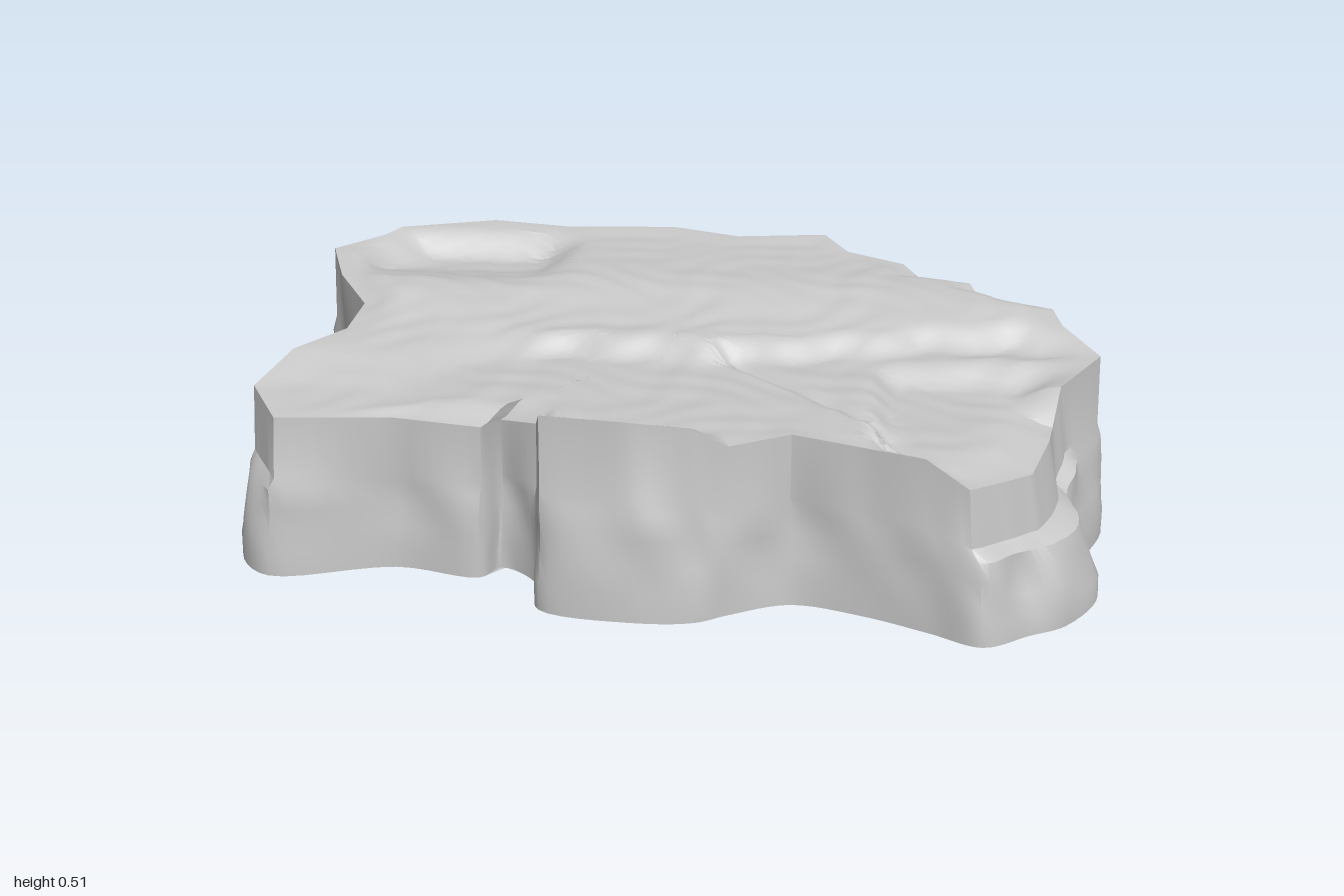
import * as THREE from 'three';
import { toCreasedNormals } from 'three/addons/utils/BufferGeometryUtils.js';

// Footprint corners (x, z), starting at the left tip and running by the front
const outline = [
  [0.995, 0], [0.94, 0.2], [0.92, 0.28], [0.96, 0.39], [0.88, 0.56], [0.8, 0.62], [0.7, 0.69],
  [0.59, 0.64], [0.45, 0.58], [0.29, 0.545], [0.16, 0.61], [0.09, 0.655], [-0.05, 0.67],
  [-0.25, 0.63], [-0.28, 0.5], [-0.37, 0.43], [-0.41, 0.485], [-0.61, 0.445], [-0.89, 0.51],
  [-0.99, 0.37], [-0.925, 0.19], [-0.82, 0.03], [-0.81, -0.13], [-0.91, -0.29], [-1, -0.46],
  [-0.88, -0.56], [-0.855, -0.63], [-0.6, -0.695], [-0.39, -0.675], [-0.11, -0.685],
  [0.07, -0.635], [0.3, -0.655], [0.37, -0.55], [0.51, -0.48], [0.56, -0.41], [0.68, -0.385],
  [0.71, -0.32], [0.91, -0.225], [0.93, -0.13],
];
// Upper rim at the same corners (height, scale towards the middle)
const rim = [
  [0.44, 0.97], [0.43, 0.92], [0.36, 0.92], [0.36, 0.87], [0.35, 0.9], [0.36, 0.92], [0.37, 0.94],
  [0.42, 0.96], [0.42, 0.98], [0.43, 0.98], [0.42, 0.97], [0.47, 0.96], [0.485, 0.96],
  [0.48, 0.97], [0.41, 0.97], [0.39, 0.98], [0.39, 0.97], [0.39, 0.98], [0.4, 0.96],
  [0.42, 0.95], [0.45, 0.97], [0.45, 0.99], [0.46, 1], [0.48, 1], [0.5, 0.97],
  [0.51, 0.98], [0.515, 0.97], [0.52, 0.985], [0.515, 0.98], [0.52, 0.985],
  [0.515, 0.98], [0.52, 0.985], [0.51, 0.97], [0.5, 0.985], [0.49, 0.97], [0.485, 0.985],
  [0.475, 0.97], [0.48, 0.95], [0.47, 0.95],
];

const step = THREE.MathUtils.smoothstep;
const bump = (x, z, cx, cz, rx, rz) => Math.exp(-(((x - cx) / rx) ** 2) - ((z - cz) / rz) ** 2);

// Height of the top: raised back shelf, lower front, sunken corners and fine ripples
function topHeight(x, z) {
  const ridge = 0.08 - 0.16 * step(x, 0, 0.9) + 0.012 * Math.sin(x * 31);
  const sharp = 0.04 + 0.25 * step(-x, 0.3, 0.8);
  let y = 0.425 + 0.045 * step(ridge - z, -sharp, sharp) + 0.04 * step(-z, -0.02, 0.28);
  y -= 0.035 * step(x, 0.44, 0.5) * step(z, 0.06, 0.14);
  y -= 0.025 * step(-x, 0.4, 0.65) * step(z, 0.1, 0.4);
  // scooped hollow in the back corner
  y -= 0.06 * step(x, -0.92, -0.82) * step(-x, 0.32, 0.45) * step(z, -0.62, -0.54) * step(-z, 0.15, 0.5);
  // side ridge and diagonal crack
  y += 0.015 * bump(x, z, 0.75, 0.04, 0.22, 0.04);
  y -= 0.012 * bump(x - z, 0, 0.03, 0, 0.025, 1) * step(x, 0.02, 0.1) * step(z, 0.02, 0.1);
  return y + 0.003 * Math.sin(x * 29 + 3 * Math.sin(z * 13)) * Math.sin(z * 37 + 2 * Math.sin(x * 17));
}

const footY = (x, z) => 0.036 - 0.03 * x * x * (1 - Math.abs(z));

function rockGeometry() {
  const PER = 6, N = outline.length * PER, lerp = THREE.MathUtils.lerp;
  const curve = new THREE.CatmullRomCurve3(outline.map(([x, z]) => new THREE.Vector3(x, 0, z)), true, 'centripetal');
  // Each edge point pairs a smooth foot with a straight-edged, chipped rim
  const edge = [];
  for (let i = 0; i < N; i++) {
    const foot = curve.getPoint(i / N), f = (i % PER) / PER;
    const k = Math.floor(i / PER), n = (k + 1) % outline.length;
    const [ha, sa] = rim[k], [hb, sb] = rim[n];
    edge.push({
      x: foot.x, z: foot.z, y: footY(foot.x, foot.z), t: i / N * Math.PI * 2,
      rx: lerp(outline[k][0] * sa, outline[n][0] * sb, f),
      rz: lerp(outline[k][1] * sa, outline[n][1] * sb, f),
      h: lerp(ha, hb, f),
    });
  }

  // Rings run from the underside centre, up the wall and in to the top centre
  const rings = [];
  for (const r of [0.001, 0.5, 1]) {
    rings.push(e => [e.x * r, lerp(0.045, e.y, r), e.z * r]);
  }
  // wall: soft folds below, leaning facets above a ledge
  for (const [v, lean, fold] of [[0.15, 0, 0.2], [0.28, 0.1, 0.7], [0.42, 0.2, 1], [0.55, 0.35, 0.8], [0.62, 0.75, 0.3]]) {
    rings.push(e => {
      const wave = Math.sin(e.t * 19 + v * 6) + 0.6 * Math.sin(e.t * 33 - v * 8);
      const s = 1 + fold * (0.009 * wave - 0.01);
      return [lerp(e.x, e.rx, lean) * s, lerp(e.y, e.h, v), lerp(e.z, e.rz, lean) * s];
    });
  }
  rings.push(e => [e.rx, e.h, e.rz]);
  for (let j = 1; j <= 32; j++) {
    const r = Math.max(1 - j / 32, 0.001);
    rings.push(e => {
      const x = e.rx * r, z = e.rz * r;
      return [x, lerp(topHeight(x, z), e.h, step(r, 0.87, 1)), z];
    });
  }

  const pos = [], index = [];
  rings.forEach((ring, j) => edge.forEach((e, i) => {
    pos.push(...ring(e));
    if (j === rings.length - 1) return;
    const a = j * N + i, b = j * N + (i + 1) % N;
    index.push(a, a + N, b + N, a, b + N, b);
  }));
  const geo = new THREE.BufferGeometry();
  geo.setAttribute('position', new THREE.Float32BufferAttribute(pos, 3));
  geo.setIndex(index);
  return toCreasedNormals(geo, 0.5);
}

export function createModel() {
  const group = new THREE.Group();
  group.name = 'flatRock';
  const stone = new THREE.MeshStandardMaterial({ color: 0xc8c8c8 });
  stone.name = 'grey stone';
  const rock = new THREE.Mesh(rockGeometry(), stone);
  rock.name = 'rockSlab';
  rock.position.y = -0.006;
  group.add(rock);
  return group;
}
